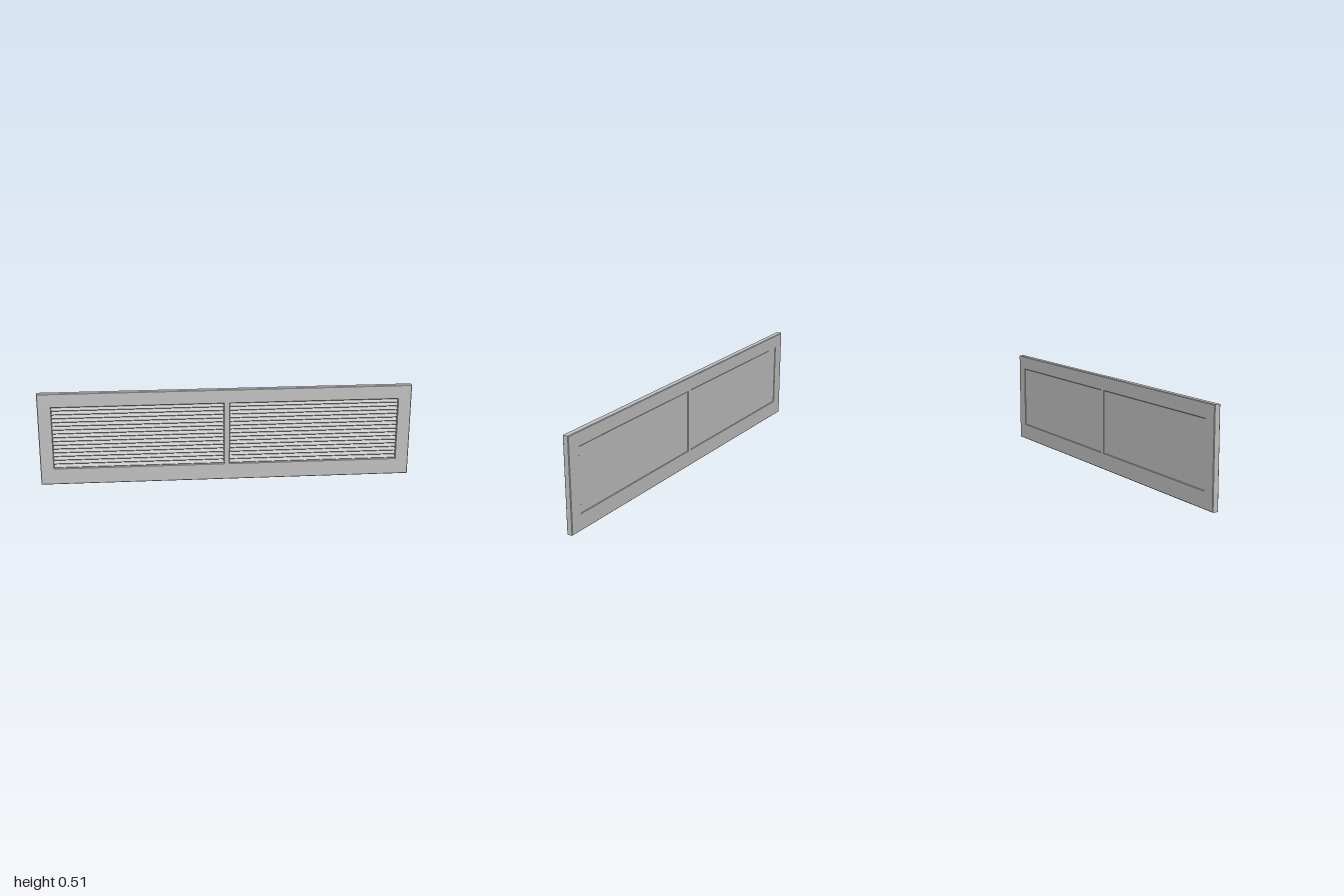
import * as THREE from 'three';

const W = 2, H = 0.508, D = 0.033;              // overall panel size
const X0 = 0.016, X1 = 0.927, Y0 = 0.091, Y1 = 0.431; // opening on the left side
const SLATS = 16;

// rectangle outline, counter-clockwise
function rect(path, x0, y0, x1, y1) {
  path.moveTo(x0, y0);
  path.lineTo(x1, y0);
  path.lineTo(x1, y1);
  path.lineTo(x0, y1);
  path.closePath();
  return path;
}

export function createModel() {
  const model = new THREE.Group();
  model.name = 'louveredPanel';
  const metal = new THREE.MeshStandardMaterial({ color: 0xc0c0c0 });
  metal.name = 'light grey';

  const add = (parent, name, geometry, x, y, z) => {
    const mesh = new THREE.Mesh(geometry, metal);
    mesh.name = name;
    mesh.position.set(x, y, z);
    parent.add(mesh);
    return mesh;
  };

  // frame with two openings and a small chamfer
  const b = 0.003;
  const outline = rect(new THREE.Shape(), -W / 2 + b, b, W / 2 - b, H - b);
  for (const [a, c] of [[-X1, -X0], [X0, X1]]) {
    outline.holes.push(rect(new THREE.Path(), a - b, Y0 - b, c + b, Y1 + b));
  }
  const frame = new THREE.ExtrudeGeometry(outline, {
    depth: D - 2 * b, bevelEnabled: true, bevelSize: b, bevelThickness: b, bevelSegments: 1,
  });
  add(model, 'frame', frame, 0, 0, -D / 2 + b);

  // each opening holds a back plate and a stack of sloping slats
  const w = X1 - X0, h = Y1 - Y0, pitch = h / SLATS;
  const plate = new THREE.BoxGeometry(w, h, 0.004);
  const slat = new THREE.BoxGeometry(w, 0.004, 0.027);
  for (const side of [-1, 1]) {
    const grille = new THREE.Group();
    grille.name = side > 0 ? 'leftGrille' : 'rightGrille';
    grille.position.set(side * (X0 + X1) / 2, Y0, 0);
    add(grille, 'backPlate', plate, 0, h / 2, -0.012);
    for (let i = 0; i < SLATS; i++) {
      add(grille, 'slat', slat, 0, (i + 0.5) * pitch, 0.001).rotation.x = 0.6;
    }
    model.add(grille);
  }
  return model;
}
